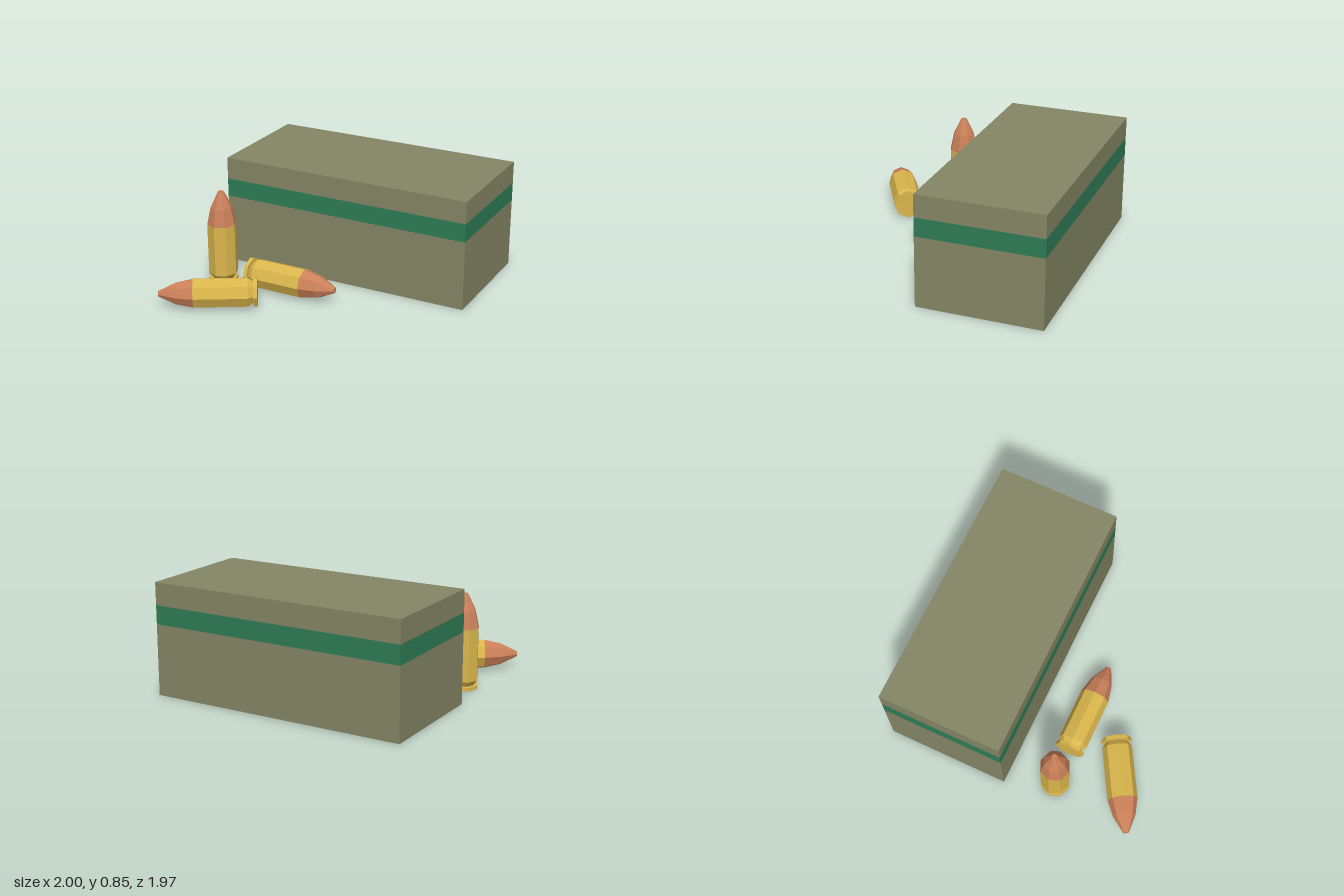
import * as THREE from 'three';

function material(name, color, flatShading = false) {
  const m = new THREE.MeshStandardMaterial({ color, flatShading });
  m.name = name;
  return m;
}

export function createModel() {
  const model = new THREE.Group();
  model.name = 'ammunitionSet';
  const olive = material('olive', 0x858665);
  const green = material('green', 0x2e7d57);
  const brass = material('brass', 0xdab64c, true);
  const copper = material('copper', 0xcb8059, true);

  // Carton: stacked layers, the middle one being the coloured band
  const carton = new THREE.Group();
  carton.name = 'carton';
  const layers = [
    ['cartonBottom', 0, 0.54, olive],
    ['cartonBand', 0.54, 0.682, green],
    ['cartonTop', 0.682, 0.853, olive],
  ];
  for (const [name, y0, y1, mat] of layers) {
    const layer = new THREE.Mesh(new THREE.BoxGeometry(2, y1 - y0, 0.945), mat);
    layer.name = name;
    layer.position.set(0, (y0 + y1) / 2, -0.513);
    carton.add(layer);
  }
  model.add(carton);

  // Eight-sided cartridge profiles, base at the origin and tip along +y
  const R = 0.113;
  const lathe = (points) =>
    new THREE.LatheGeometry(points.map(([r, y]) => new THREE.Vector2(r, y)), 8);
  const caseGeometry = lathe([
    [0, 0], [R, 0], [R, 0.03], [0.085, 0.03], [R, 0.07], [R, 0.47],
  ]);
  const tipGeometry = lathe([[R, 0.47], [0.084, 0.6], [0.022, 0.726], [0, 0.726]]);

  function addCartridge(name, position, rotation) {
    const cartridge = new THREE.Group();
    cartridge.name = name;
    const casing = new THREE.Mesh(caseGeometry, brass);
    casing.name = 'casing';
    const tip = new THREE.Mesh(tipGeometry, copper);
    tip.name = 'tip';
    cartridge.add(casing, tip);
    cartridge.position.set(...position);
    cartridge.rotation.set(...rotation);
    model.add(cartridge);
  }

  addCartridge('standingCartridge', [-0.839, 0, 0.315], [0, 0, 0]);
  addCartridge('lyingCartridge', [-0.596, R + 0.004, 0.315], [0, 0, -Math.PI / 2]);
  addCartridge('angledCartridge', [-0.361, R + 0.004, 0.602], [0, Math.PI / 6, Math.PI / 2]);

  return model;
}
